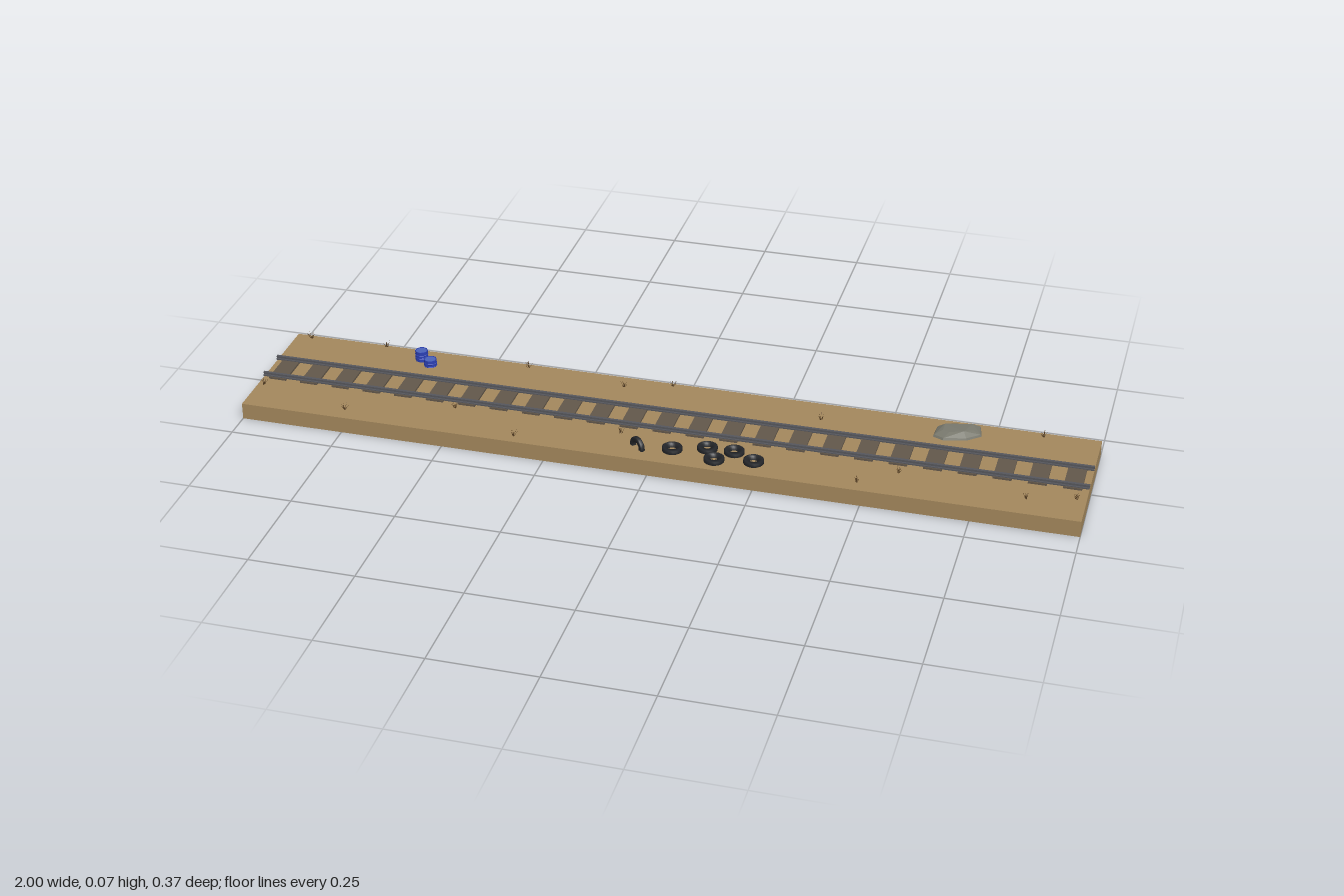
import * as THREE from 'three';
import { mergeGeometries } from 'three/addons/utils/BufferGeometryUtils.js';
import { ConvexGeometry } from 'three/addons/geometries/ConvexGeometry.js';

const GROUND = 0.04;      // top of the ground slab
const TRACK_Z = 0.0025;   // centre line of the track

function material(name, color, extra = {}) {
  const m = new THREE.MeshStandardMaterial({ color, ...extra });
  m.name = name;
  return m;
}

export function createModel() {
  const model = new THREE.Group();
  model.name = 'railwayTrackSection';

  const sand = material('sand', 0xa3875c);
  const wood = material('weatheredWood', 0x62574a);
  const steel = material('darkSteel', 0x55565c);
  const rubber = material('blackRubber', 0x24262a);
  const blue = material('bluePaint', 0x2c40b4, { flatShading: true });
  const lidBlue = material('lidBlue', 0x4a62b8, { flatShading: true });
  const stone = material('greyStone', 0x77776c, { flatShading: true });
  const straw = material('dryGrass', 0x5c4326, { side: THREE.DoubleSide });

  const add = (name, geometry, mat, x = 0, y = 0, z = 0, parent = model) => {
    const mesh = new THREE.Mesh(geometry, mat);
    mesh.name = name;
    mesh.position.set(x, y, z);
    parent.add(mesh);
    return mesh;
  };

  // Ground slab
  add('ground', new THREE.BoxGeometry(2, GROUND, 0.361), sand, 0, GROUND / 2, TRACK_Z);

  // Sleepers
  const sleeper = new THREE.BoxGeometry(0.043, 0.006, 0.1);
  for (let i = 0; i < 25; i++) {
    add('sleeper', sleeper, wood, (i - 12) * 0.0802, GROUND + 0.002, TRACK_Z);
  }

  // Rails: foot, web and head
  for (const side of [-1, 1]) {
    const rail = new THREE.Group();
    rail.name = side > 0 ? 'frontRail' : 'backRail';
    rail.position.set(0, GROUND, TRACK_Z + side * 0.0415);
    model.add(rail);
    add('railFoot', new THREE.BoxGeometry(2, 0.003, 0.012), steel, 0, 0.0055, 0, rail);
    add('railWeb', new THREE.BoxGeometry(2, 0.004, 0.003), steel, 0, 0.009, 0, rail);
    add('railHead', new THREE.BoxGeometry(2, 0.003, 0.007), steel, 0, 0.0115, 0, rail);
  }

  // Tyres: a closed, rounded-off rectangular profile turned about the axis
  const tyreProfile = [
    [0.012, -0.005], [0.021, -0.006], [0.024, -0.004], [0.024, 0.004],
    [0.021, 0.006], [0.012, 0.005], [0.012, -0.005],
  ].map(([r, y]) => new THREE.Vector2(r, y));
  const tyre = new THREE.LatheGeometry(tyreProfile, 20);
  for (const [x, z] of [[0.045, 0.122], [0.123, 0.098], [0.187, 0.098], [0.15, 0.143], [0.24, 0.128]]) {
    add('lyingTyre', tyre, rubber, x, GROUND + 0.005, z);
  }
  const standing = add('standingTyre', tyre, rubber, -0.036, GROUND + 0.003, 0.131);
  standing.rotation.set(Math.PI / 2, 0, 0.68);
  standing.rotation.order = 'XYZ';
  standing.rotation.set(Math.PI / 2, 0, 0.68);

  // Barrels with raised rims
  const barrelProfile = [
    [0, 0], [0.0155, 0], [0.0155, 0.008], [0.0165, 0.009], [0.0155, 0.01],
    [0.0155, 0.016], [0.0165, 0.017], [0.0155, 0.018], [0.0155, 0.026],
    [0.014, 0.026], [0.014, 0.0245], [0, 0.0245],
  ].map(([r, y]) => new THREE.Vector2(r, y));
  const barrelShape = new THREE.LatheGeometry(barrelProfile, 10);
  const lidShape = new THREE.CylinderGeometry(0.0138, 0.0138, 0.001, 10);
  for (const [x, y, z] of [[-0.659, GROUND, -0.134], [-0.629, GROUND - 0.008, -0.112]]) {
    const barrel = new THREE.Group();
    barrel.name = 'barrel';
    barrel.position.set(x, y, z);
    model.add(barrel);
    add('barrelBody', barrelShape, blue, 0, 0, 0, barrel);
    add('barrelLid', lidShape, lidBlue, 0, 0.0246, 0, barrel);
  }

  // Flat boulder: outline at the ground and a shrunken, shifted outline on top
  const outline = [
    [-0.056, 0.03], [-0.054, -0.014], [-0.022, -0.033], [0.05, -0.042],
    [0.058, 0.0], [0.026, 0.028], [-0.03, 0.042],
  ];
  const rockPoints = outline.flatMap(([x, z], i) => [
    new THREE.Vector3(x, -0.004, z),
    new THREE.Vector3(x * 0.92, 0.005, z * 0.9),
    new THREE.Vector3(x * 0.6, 0.012 + 0.003 * (i % 2), z * 0.55 - 0.004),
  ]);
  add('boulder', new ConvexGeometry(rockPoints), stone, 0.67, GROUND, -0.125);

  // Dry grass: tapered blades fanning out from each clump
  let seed = 7;
  const random = () => (seed = (seed * 16807) % 2147483647) / 2147483647;
  const clump = () => {
    const blades = [];
    for (let i = 0; i < 9; i++) {
      const blade = new THREE.ConeGeometry(0.0009, 0.015 + random() * 0.007, 3, 1, true);
      blade.translate(0, 0.008, 0);
      blade.rotateZ(0.15 + random() * 0.5);
      blade.rotateY(i * 2.4 + random());
      blade.translate((random() - 0.5) * 0.006, 0, (random() - 0.5) * 0.006);
      blades.push(blade);
    }
    return mergeGeometries(blades);
  };
  const clumpSpots = [
    [-0.96, -0.166], [-0.765, -0.172], [-0.395, -0.165], [-0.143, -0.134],
    [-0.03, -0.168], [0.347, -0.104], [0.865, -0.162], [-0.984, 0.082],
    [-0.754, 0.144], [-0.504, 0.07], [-0.33, 0.155], [0.485, 0.148],
    [0.57, 0.083], [0.867, 0.118], [0.977, 0.09], [-0.09, 0.077],
  ];
  for (const [x, z] of clumpSpots) add('grassClump', clump(), straw, x, GROUND, z);

  return model;
}
